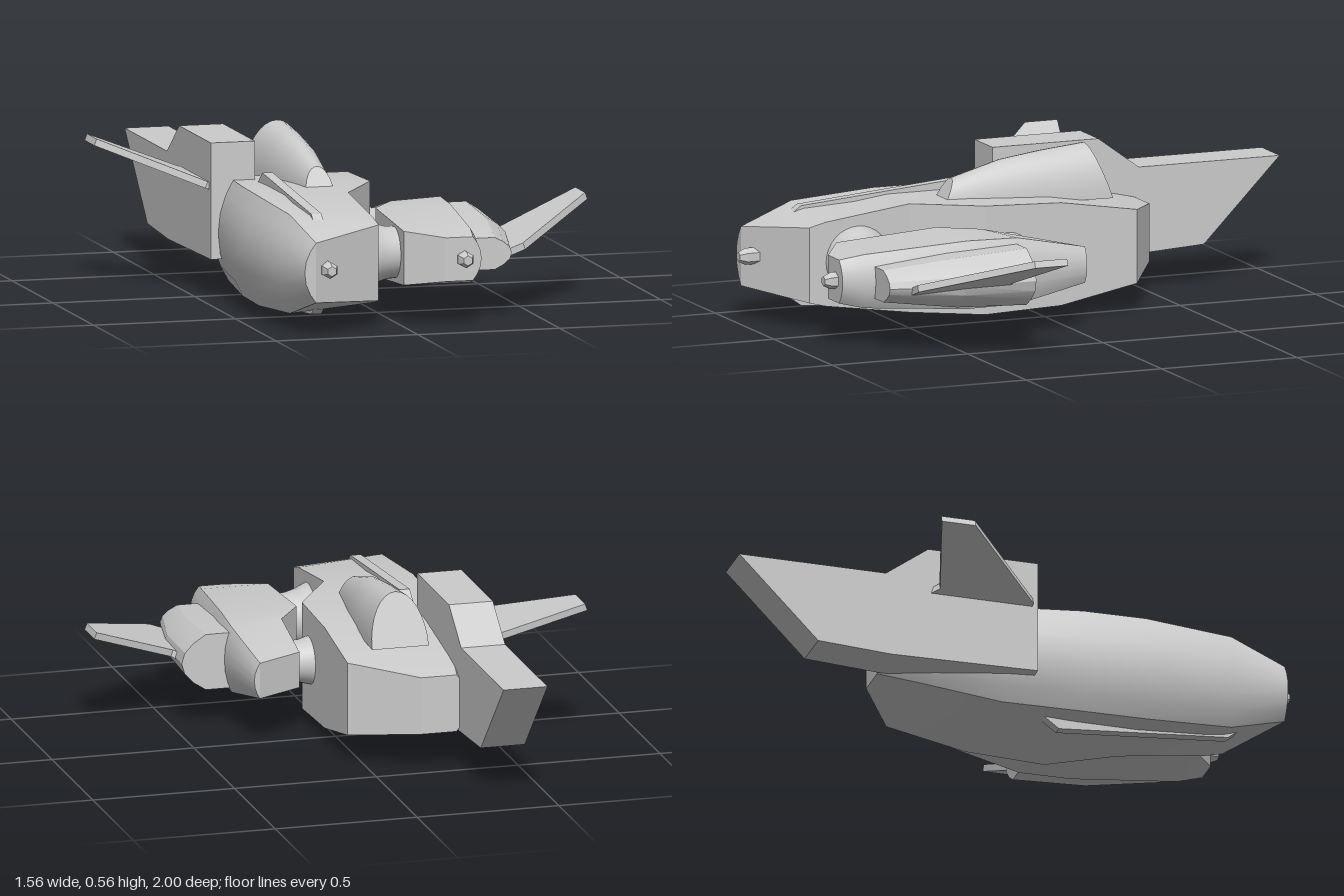
import * as THREE from 'three';
import { toCreasedNormals } from 'three/addons/utils/BufferGeometryUtils.js';

const MID = 0.235; // height of the ship's centre line

export function createModel() {
  const ship = new THREE.Group();
  ship.name = 'asymmetricShip';
  const grey = new THREE.MeshStandardMaterial({ color: 0xcccccc });

  function add(name, geometry, crease = 0.5) {
    const mesh = new THREE.Mesh(toCreasedNormals(geometry, crease), grey);
    mesh.name = name;
    ship.add(mesh);
    return mesh;
  }

  // Closed skin through rings of [x, y, z], wound to face outwards
  function loft(rings) {
    const tris = [];
    const n = rings[0].length;
    for (let r = 0; r < rings.length - 1; r++) {
      for (let i = 0; i < n; i++) {
        const j = (i + 1) % n;
        const a = rings[r][i], b = rings[r][j], c = rings[r + 1][j], d = rings[r + 1][i];
        tris.push([a, b, c], [a, c, d]);
      }
    }
    const first = rings[0], last = rings[rings.length - 1];
    for (let i = 1; i < n - 1; i++) {
      tris.push([first[0], first[i + 1], first[i]], [last[0], last[i], last[i + 1]]);
    }
    const v = (p) => new THREE.Vector3(...p);
    let volume = 0;
    for (const [a, b, c] of tris) volume += v(a).dot(v(b).cross(v(c)));
    if (volume < 0) tris.forEach((t) => t.reverse());
    const geometry = new THREE.BufferGeometry();
    geometry.setAttribute('position', new THREE.Float32BufferAttribute(tris.flat(2), 3));
    return geometry;
  }

  // Hull section: flat inner wall, flat top and bottom, rounded outer flank
  function hullRing({ z, zIn = z, outer, shoulder, inner, top, bottom, topIn = top, bottomIn = bottom }) {
    const mid = (top + bottom) / 2, half = (top - bottom) / 2;
    const flank = [[0, 1], [0.5, 0.72], [0.87, 0.38], [1, 0], [0.87, -0.38], [0.5, -0.72], [0, -1]];
    const ring = flank.map(([t, h]) => [shoulder + (outer - shoulder) * t, mid + half * h, z]);
    ring.push([inner, bottomIn, zIn], [inner, topIn, zIn]);
    return ring;
  }
  const hull = (name, sections) => add(name, loft(sections.map(hullRing)), 0.45);

  // Side profile of [z, y] points given a thickness along x
  function slab(points, xCentre, width) {
    const shape = new THREE.Shape(points.map(([z, y]) => new THREE.Vector2(z, y)));
    const g = new THREE.ExtrudeGeometry(shape, { depth: width, bevelEnabled: false });
    return g.rotateY(-Math.PI / 2).translate(xCentre + width / 2, 0, 0);
  }

  // Main hull
  hull('mainHull', [
    { z: 0.97, zIn: 0.83, outer: -0.39, shoulder: -0.35, inner: -0.09, top: 0.33, bottom: 0.125, topIn: 0.36, bottomIn: 0.1 },
    { z: 0.77, outer: -0.435, shoulder: -0.385, inner: -0.09, top: 0.398, bottom: 0.06, topIn: 0.375, bottomIn: 0.085 },
    { z: 0.46, outer: -0.46, shoulder: -0.405, inner: -0.09, top: 0.415, bottom: 0.04 },
    { z: 0.24, outer: -0.45, shoulder: -0.4, inner: 0.05, top: 0.415, bottom: 0.04 },
    { z: -0.04, outer: -0.425, shoulder: -0.37, inner: 0.05, top: 0.405, bottom: 0.05 },
    { z: -0.32, outer: -0.37, shoulder: -0.32, inner: 0.05, top: 0.36, bottom: 0.105 },
    { z: -0.46, outer: -0.335, shoulder: -0.295, inner: -0.17, top: 0.33, bottom: 0.13 },
  ]);

  // Side pod and its outer armour block
  hull('sidePod', [
    { z: 0.86, outer: 0.265, shoulder: 0.235, inner: 0.14, top: 0.31, bottom: 0.16 },
    { z: 0.775, outer: 0.28, shoulder: 0.25, inner: 0.015, top: 0.325, bottom: 0.14 },
    { z: 0.41, outer: 0.315, shoulder: 0.285, inner: 0.02, top: 0.35, bottom: 0.115 },
    { z: 0.23, zIn: 0.28, outer: 0.325, shoulder: 0.3, inner: 0.11, top: 0.35, bottom: 0.12 },
    { z: -0.03, zIn: 0.06, outer: 0.295, shoulder: 0.275, inner: 0.11, top: 0.295, bottom: 0.17 },
  ]);
  hull('outerBlock', [
    { z: 0.745, outer: 0.405, shoulder: 0.345, inner: 0.22, top: 0.285, bottom: 0.175 },
    { z: 0.49, outer: 0.465, shoulder: 0.385, inner: 0.22, top: 0.315, bottom: 0.145 },
    { z: 0.235, outer: 0.475, shoulder: 0.39, inner: 0.22, top: 0.33, bottom: 0.135 },
  ]);

  // Tail boom along the outer flank
  add('tailBoom', slab([
    [0.06, 0.14], [0.06, 0.54], [-0.33, 0.54], [-0.48, 0.43], [-1, 0.43], [-0.72, 0.145], [-0.46, 0.13],
  ], -0.3825, 0.155));

  // Canopy: half-ellipse sections leaning back at the nose and forward at the tail
  const canopyRings = [
    [0.33, 0.28, 0.05, 0.48], [0.12, 0.1, 0.075, 0.53], [-0.07, -0.05, 0.092, 0.55], [-0.275, -0.21, 0.1, 0.565],
  ].map(([zBase, zTop, w, top]) => {
    const ring = [];
    for (let i = 0; i <= 16; i++) {
      const a = (Math.PI * i) / 16, s = Math.sin(a);
      ring.push([-0.15 + w * Math.cos(a), 0.385 + (top - 0.385) * s, zBase + (zTop - zBase) * s]);
    }
    return ring;
  });
  add('canopy', loft(canopyRings), 0.6);

  // Ridge fins above and below the main hull
  for (const side of [1, -1]) {
    const fin = [[0.81, 0.15], [0.78, 0.172], [0.18, 0.222], [0.11, 0.17]];
    add(side > 0 ? 'topFin' : 'bottomFin',
      slab(fin.map(([z, h]) => [z, 0.2275 + side * h]), -0.295, 0.036));
  }

  // Upswept wings, one on the boom and one on the pod
  function wing(name, side, y, z) {
    const outline = [[-0.05, 0.4], [0.01, 0.4], [0.336, 0.1], [0.336, -0.02], [0.022, 0.065], [-0.05, 0]];
    const shape = new THREE.Shape(outline.map(([s, d]) => new THREE.Vector2(side * s, d)));
    const g = new THREE.ExtrudeGeometry(shape, { depth: 0.024, bevelEnabled: false });
    g.rotateX(Math.PI / 2).translate(0, 0.012, 0).rotateZ(side * 0.357);
    add(name, g.translate(side * 0.46, y, z));
  }
  wing('boomWing', -1, 0.39, -0.36);
  wing('podWing', 1, 0.235, 0.27);

  // Waisted couplings between hull and pod, profile as [radius, x]
  function coupling(name, profile, z) {
    const g = new THREE.LatheGeometry(profile.map(([r, x]) => new THREE.Vector2(r, x)), 32);
    add(name, g.rotateZ(-Math.PI / 2).translate(0, MID, z), 0.7).material =
      new THREE.MeshStandardMaterial({ color: 0xcccccc, side: THREE.DoubleSide });
  }
  coupling('frontCoupling', [[0.118, -0.11], [0.118, -0.09], [0.1, -0.05], [0.09, -0.015], [0.087, 0.03]], 0.65);
  coupling('rearCoupling', [[0.086, 0.03], [0.082, 0.055], [0.073, 0.085], [0.072, 0.13]], 0.155);

  // Six-sided gun muzzles
  function muzzle(name, x, tip) {
    const profile = [[0, -0.12], [0.029, -0.12], [0.029, -0.025], [0.017, 0], [0, 0]];
    const g = new THREE.LatheGeometry(profile.map(([r, h]) => new THREE.Vector2(r, h)), 6);
    add(name, g.rotateX(Math.PI / 2).translate(x, MID, tip), 0.2);
  }
  muzzle('hullMuzzle', -0.302, 1);
  muzzle('podMuzzle', 0.205, 0.905);

  return ship;
}
